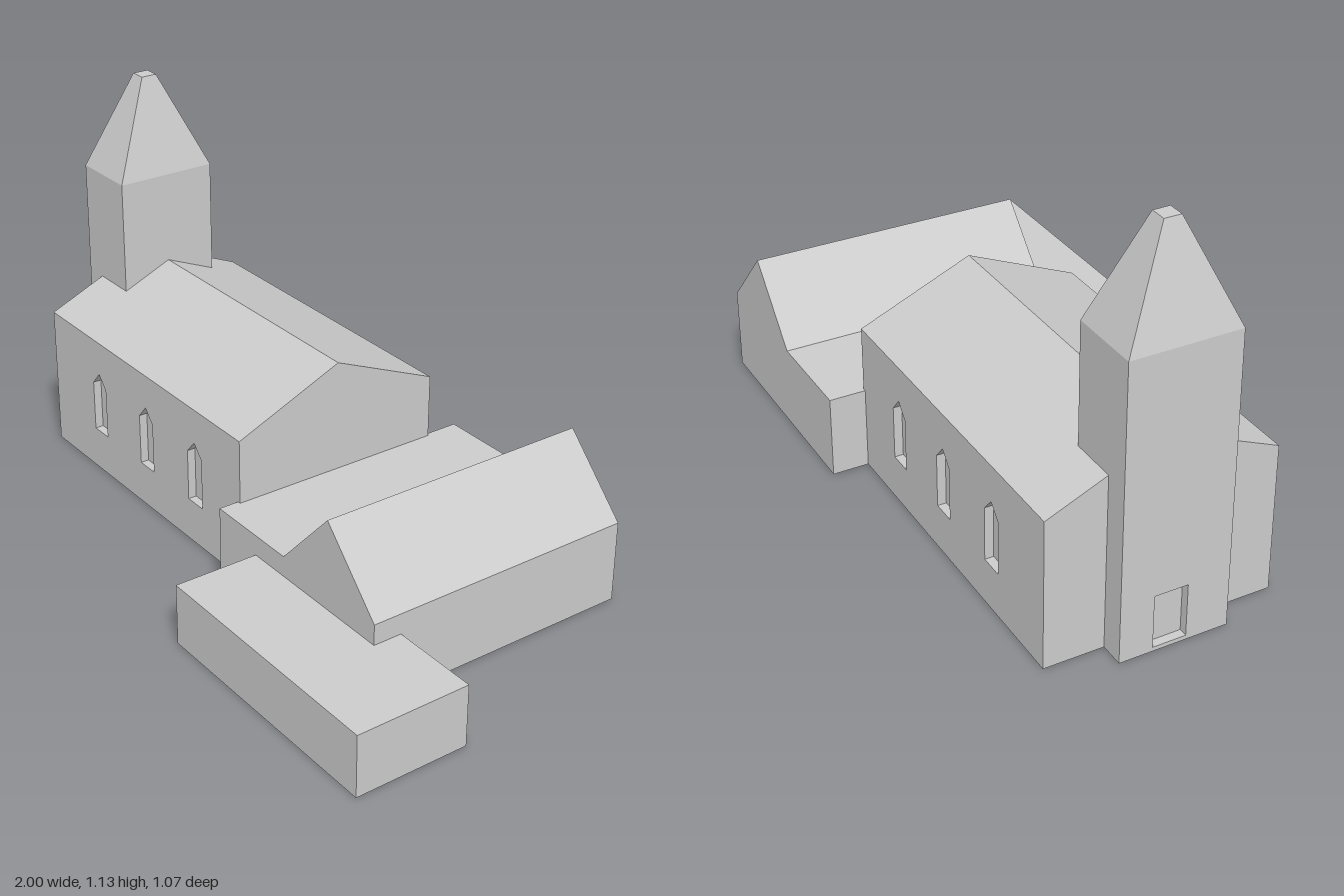
import * as THREE from 'three';

const stone = new THREE.MeshStandardMaterial({ color: 0xcccccc });
stone.name = 'pale stone grey';

const RECESS = 0.025;

// Closed outline from a few [x, y] points
function outline(points, Type = THREE.Shape) {
  return new Type(points.map(([x, y]) => new THREE.Vector2(x, y)));
}

function extrude(points, depth, holes = []) {
  const shape = outline(points);
  shape.holes = holes.map((h) => outline(h, THREE.Path));
  return new THREE.ExtrudeGeometry(shape, { depth, bevelEnabled: false });
}

function rect(x0, x1, y0, y1) {
  return [[x0, y0], [x1, y0], [x1, y1], [x0, y1]];
}

function add(parent, name, geometry, x = 0, y = 0, z = 0) {
  const mesh = new THREE.Mesh(geometry, stone);
  mesh.name = name;
  mesh.position.set(x, y, z);
  parent.add(mesh);
  return mesh;
}

// Box given by its bounds
function addBox(parent, name, x0, x1, y0, y1, z0, z1) {
  const geometry = new THREE.BoxGeometry(x1 - x0, y1 - y0, z1 - z0);
  return add(parent, name, geometry, (x0 + x1) / 2, (y0 + y1) / 2, (z0 + z1) / 2);
}

// Nave: gabled core with pierced side walls that leave recessed windows
function createNave() {
  const nave = new THREE.Group();
  nave.name = 'nave';
  const x0 = -0.93, x1 = 0.07, back = -0.43, front = 0.225;
  const half = (front - back) / 2, eave = 0.43, ridge = 0.57;
  const inner = half - RECESS;
  const core = extrude([
    [-inner, 0], [inner, 0], [inner, eave], [half, eave],
    [0, ridge], [-half, eave], [-inner, eave],
  ], x1 - x0).rotateY(Math.PI / 2);
  add(nave, 'naveCoreAndRoof', core, x0, 0, (front + back) / 2);

  const windows = [-0.67, -0.41, -0.155].map((x) => [
    [x - 0.035, 0.13], [x + 0.035, 0.13], [x + 0.035, 0.285],
    [x, 0.325], [x - 0.035, 0.285],
  ]);
  const wall = extrude(rect(x0, x1, 0, eave), RECESS, windows);
  add(nave, 'frontWall', wall, 0, 0, front - RECESS);
  add(nave, 'backWall', wall, 0, 0, back);
  return nave;
}

// Tower: shaft with a recessed door on its outer side and a blunt spire
function createTower() {
  const tower = new THREE.Group();
  tower.name = 'tower';
  const x0 = -1, x1 = -0.79, z0 = -0.26, z1 = 0.05, top = 0.845, tip = 1.13;
  addBox(tower, 'towerShaft', x0 + RECESS, x1, 0, top, z0, z1);
  const doorWall = extrude(
    rect(-z1, -z0, 0, top), RECESS, [rect(0.07, 0.165, 0.012, 0.165)],
  ).rotateY(Math.PI / 2);
  add(tower, 'towerDoorWall', doorWall, x0);

  const spire = new THREE.BoxGeometry(x1 - x0, tip - top, z1 - z0);
  const p = spire.attributes.position;
  for (let i = 0; i < p.count; i++) {
    if (p.getY(i) > 0) {
      p.setX(i, Math.sign(p.getX(i)) * 0.024);
      p.setZ(i, Math.sign(p.getZ(i)) * 0.024);
    }
  }
  spire.computeVertexNormals();
  add(tower, 'spire', spire, (x0 + x1) / 2, (top + tip) / 2, (z0 + z1) / 2);
  return tower;
}

export function createModel() {
  const church = new THREE.Group();
  church.name = 'church';
  church.add(createNave(), createTower());

  // Hall: flat-roofed strip beside a gabled range
  const hall = extrude([
    [0.06, 0], [0.74, 0], [0.74, 0.24], [0.545, 0.442], [0.357, 0.24], [0.06, 0.24],
  ], 0.82);
  add(church, 'hall', hall, 0, 0, -0.535);

  // Low flat-roofed annex
  addBox(church, 'annex', 0.23, 1, 0, 0.18, 0.2, 0.535);
  return church;
}
